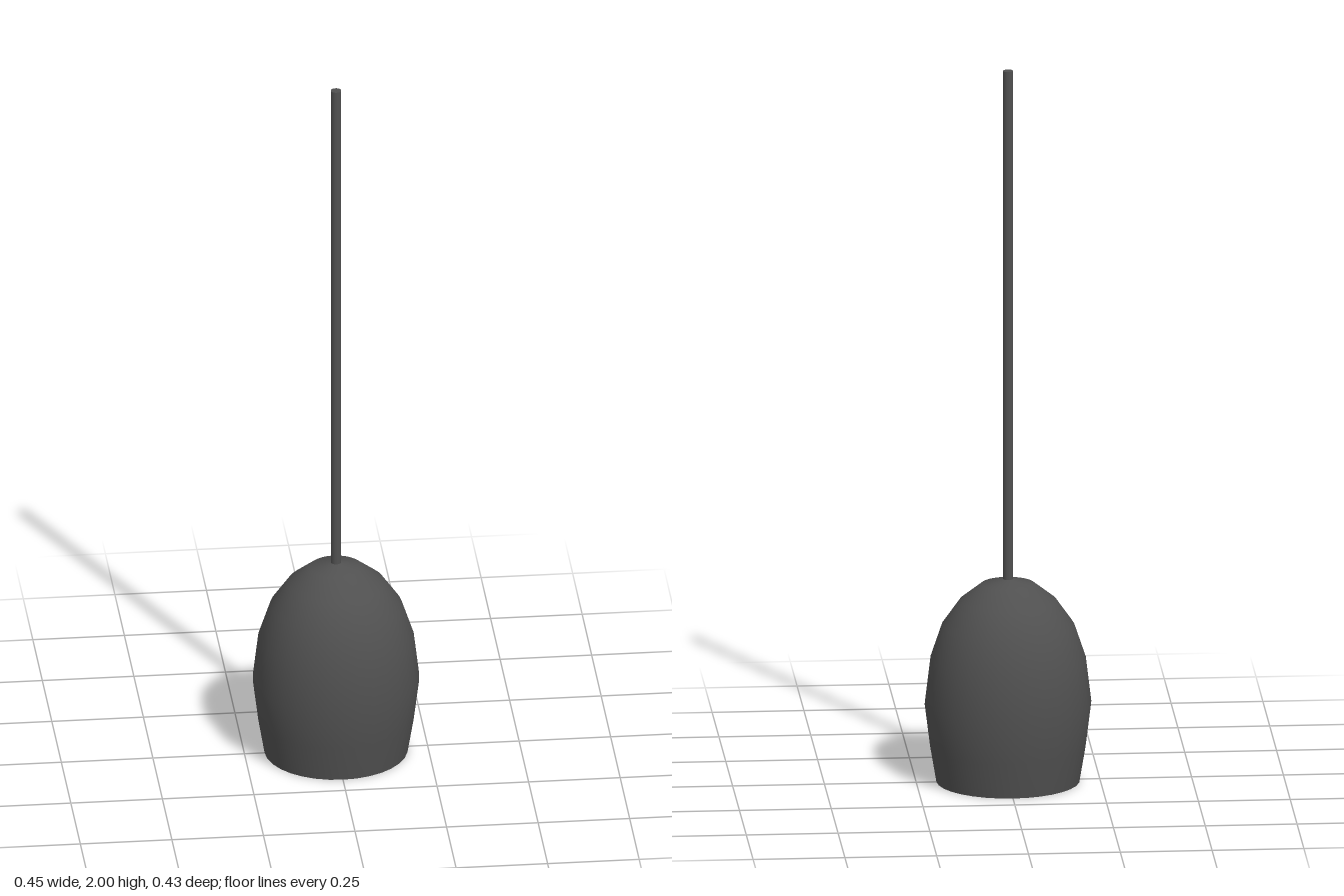
import * as THREE from 'three';

export function createModel() {
  const model = new THREE.Group();
  const charcoal = new THREE.MeshStandardMaterial({ color: 0x505050, side: THREE.DoubleSide });
  charcoal.name = 'charcoal';
  const paleGlass = new THREE.MeshStandardMaterial({ color: 0xe8e8e4, side: THREE.DoubleSide });
  paleGlass.name = 'pale glass';

  const add = (name, geometry, material, y = 0) => {
    const mesh = new THREE.Mesh(geometry, material);
    mesh.name = name;
    mesh.position.y = y;
    model.add(mesh);
    return mesh;
  };

  // Open bell shade, slightly narrower front to back
  const profile = [
    [0.195, 0], [0.212, 0.1], [0.227, 0.22], [0.212, 0.345],
    [0.18, 0.44], [0.132, 0.508], [0.072, 0.555], [0, 0.572],
  ].map(([r, y]) => new THREE.Vector2(r, y));
  const shade = add('shade', new THREE.LatheGeometry(profile, 32), charcoal);
  shade.scale.z = 0.947;

  // Hanging cord
  add('cord', new THREE.CylinderGeometry(0.014, 0.014, 1.44, 24), charcoal, 1.28);

  // Lamp holder inside the shade with a pale rim around its lower end
  add('lampHolder', new THREE.CylinderGeometry(0.055, 0.055, 0.44, 24), charcoal, 0.32);
  const rim = add('lampRim', new THREE.RingGeometry(0.049, 0.055, 24), paleGlass, 0.098);
  rim.rotation.x = Math.PI / 2;

  return model;
}
